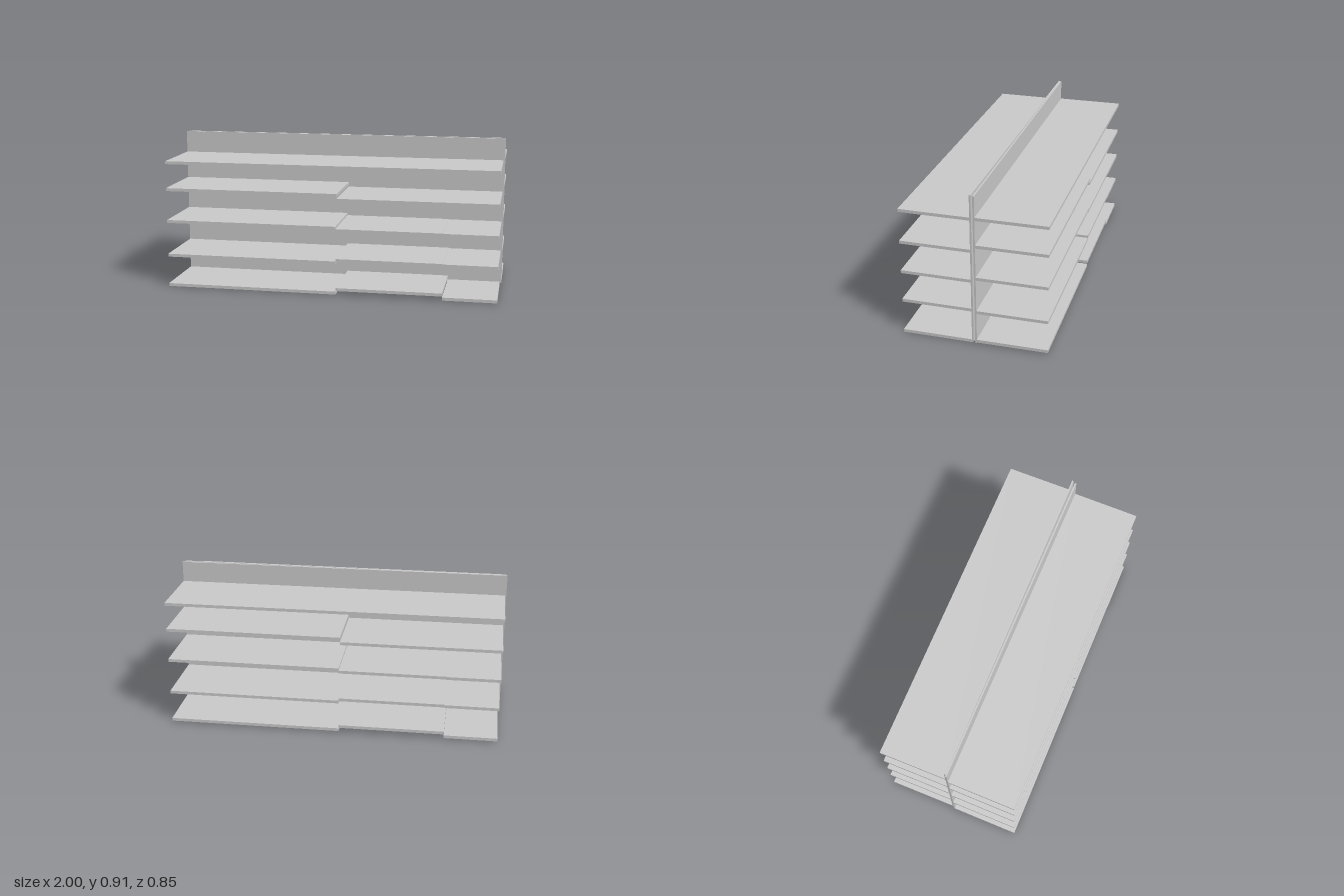
import * as THREE from 'three';

const material = new THREE.MeshStandardMaterial({ color: 0xcccccc, flatShading: true });

// Box given by its limits on each axis
function board(name, [x0, x1], [y0, y1], [z0, z1]) {
  const geometry = new THREE.BoxGeometry(x1 - x0, y1 - y0, z1 - z0);
  geometry.translate((x0 + x1) / 2, (y0 + y1) / 2, (z0 + z1) / 2);
  const mesh = new THREE.Mesh(geometry, material);
  mesh.name = name;
  return mesh;
}

// Shelf levels, bottom to top: each board is [start x, end x, underside y]
const levels = [
  [[-1, 0.037, 0.002], [0.037, 0.67, 0.024], [0.67, 0.99, 0]],
  [[-1, 0.037, 0.187], [0.037, 0.67, 0.202], [0.67, 0.99, 0.199]],
  [[-1, 0.037, 0.397], [0.037, 0.67, 0.383], [0.67, 0.99, 0.381]],
  [[-1, 0.045, 0.593], [0.045, 0.99, 0.565]],
  [[-1, 0.99, 0.757]],
];
const thickness = 0.018;

// One-sided shelf unit: upright back panel with stepped shelves
function shelfUnit(name) {
  const unit = new THREE.Group();
  unit.name = name;
  unit.add(board('backPanel', [-1, 0.99], [0.005, 0.906], [0.006, 0.016]));
  levels.forEach((level, i) => {
    level.forEach(([x0, x1, y], j) => {
      unit.add(board(`shelf${i + 1}_${j + 1}`, [x0, x1], [y, y + thickness], [0.016, 0.424]));
    });
  });
  return unit;
}

export function createModel() {
  const group = new THREE.Group();
  group.name = 'doubleSidedShelving';
  group.add(shelfUnit('frontUnit'));

  // Same unit back to back, set slightly higher and a touch askew
  const back = shelfUnit('backUnit');
  back.rotation.y = Math.PI + 0.006;
  back.position.set(0, 0.007, 0.006);
  back.getObjectByName('backPanel').position.y = -0.006;
  group.add(back);
  return group;
}
